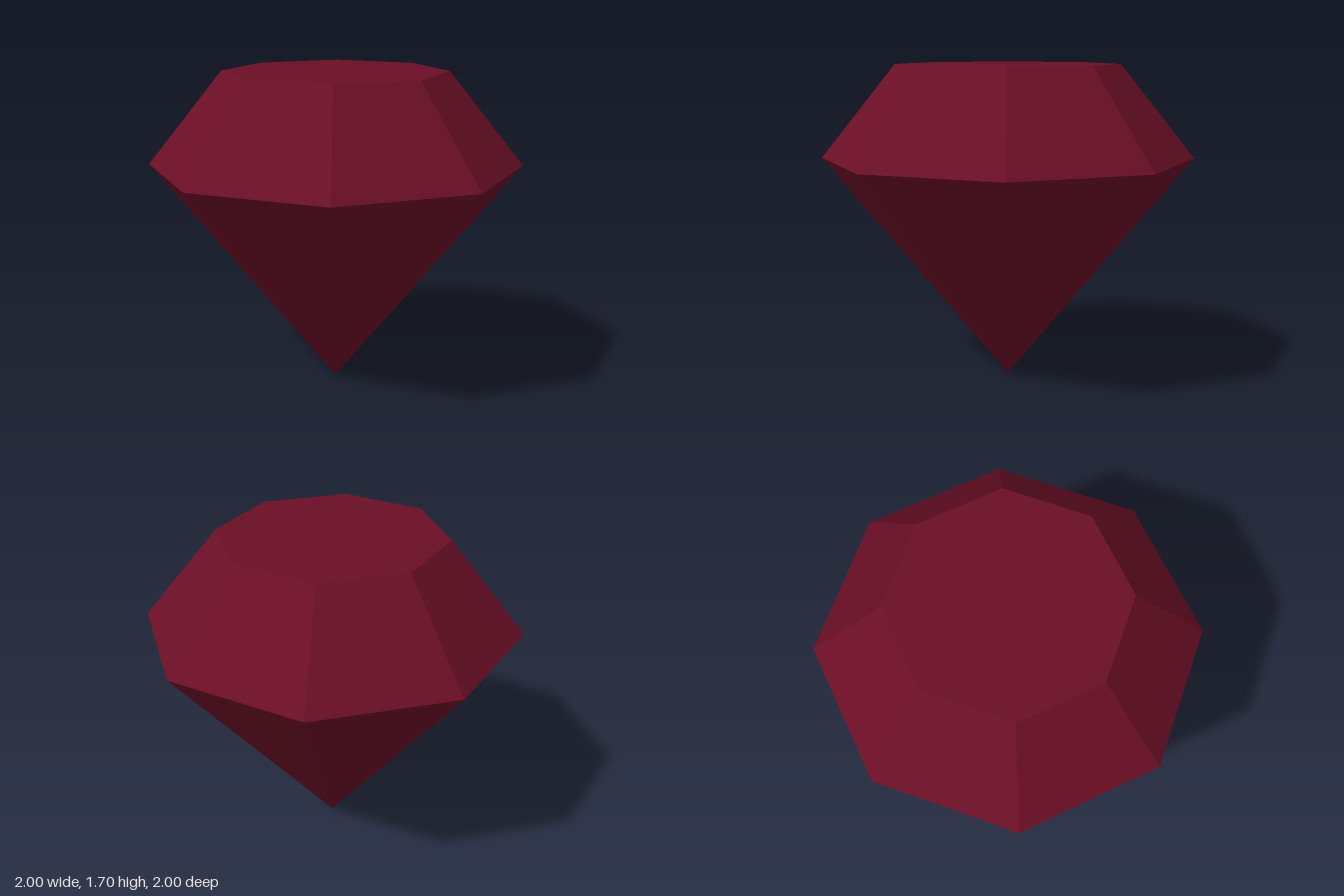
import * as THREE from 'three';

const SIDES = 8;
const GIRDLE_RADIUS = 1, GIRDLE_Y = 1.2;
const TABLE_RADIUS = 0.6, TABLE_Y = 1.7;

export function createModel() {
  const gem = new THREE.Group();
  gem.name = 'gem';

  const wineRed = new THREE.MeshStandardMaterial({ color: 0x6b0f26 });
  wineRed.name = 'wineRed';

  const addPart = (name, geometry, y) => {
    // Unshared vertices give every facet its own flat normal
    const faceted = geometry.toNonIndexed();
    faceted.computeVertexNormals();
    const mesh = new THREE.Mesh(faceted, wineRed);
    mesh.name = name;
    mesh.position.y = y;
    gem.add(mesh);
  };

  // Pointed lower half
  addPart('pavilion',
    new THREE.CylinderGeometry(GIRDLE_RADIUS, 0, GIRDLE_Y, SIDES, 1, true), GIRDLE_Y / 2);

  // Sloping facets above the widest line
  addPart('crown',
    new THREE.CylinderGeometry(TABLE_RADIUS, GIRDLE_RADIUS, TABLE_Y - GIRDLE_Y, SIDES, 1, true),
    (TABLE_Y + GIRDLE_Y) / 2);

  // Flat octagonal top
  addPart('table', new THREE.CircleGeometry(TABLE_RADIUS, SIDES).rotateX(-Math.PI / 2), TABLE_Y);

  return gem;
}
